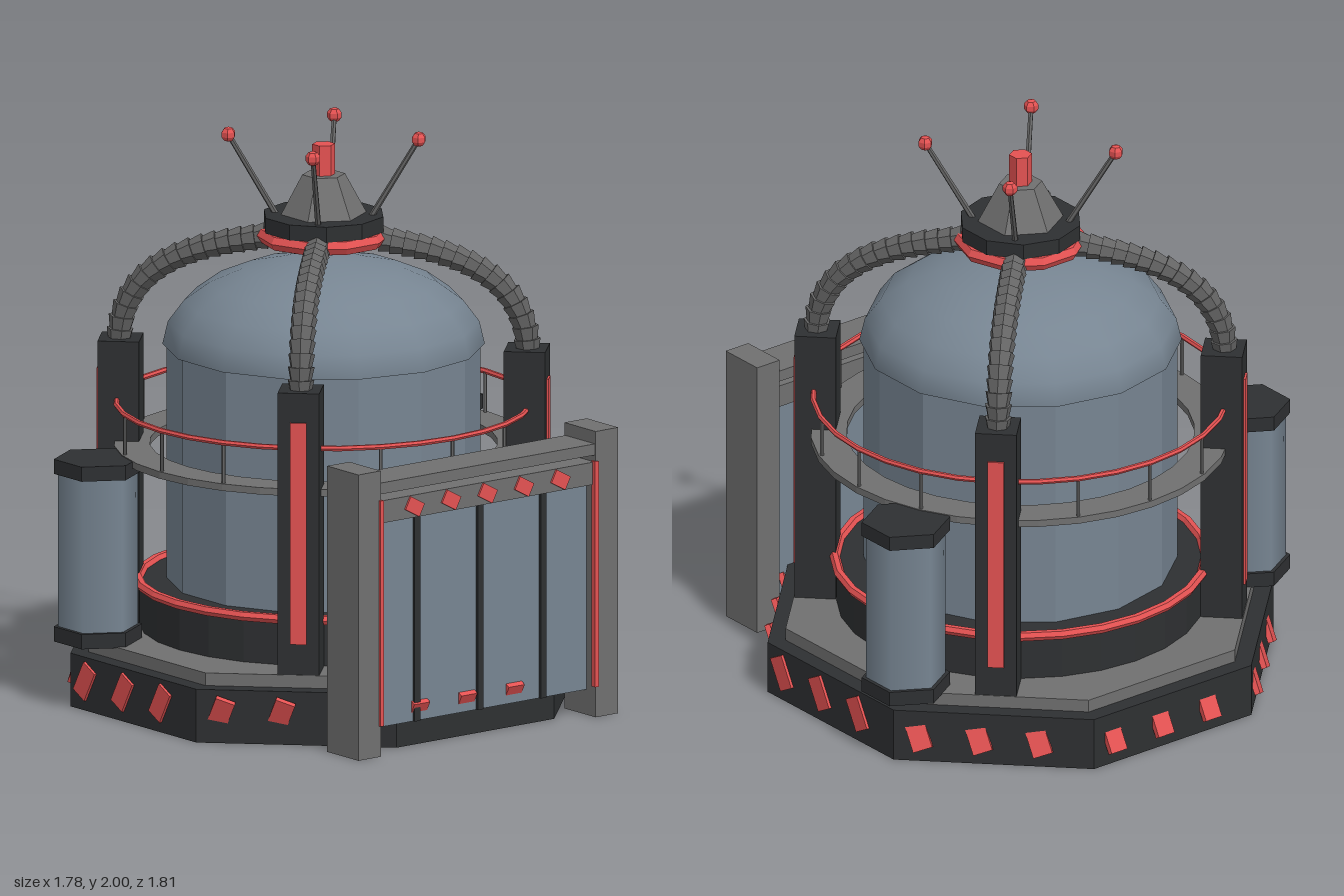
import * as THREE from 'three';

const mat = (color, flatShading = true) => new THREE.MeshStandardMaterial({ color, flatShading });
const dark = mat(0x2e3032), grey = mat(0x707070), red = mat(0xe45252), steel = mat(0x778592);
const steelSmooth = mat(0x778592, false), hose = mat(0x646464);
const V = (x, y, z) => new THREE.Vector3(x, y, z);

export function createModel() {
  const model = new THREE.Group();
  const body = new THREE.Group(); // everything round shares this axis
  body.name = 'reactorBody';
  body.position.z = -0.025;
  model.add(body);

  const add = (parent, name, geo, material, x = 0, y = 0, z = 0) => {
    const m = new THREE.Mesh(geo, material);
    m.name = name;
    m.position.set(x, y, z);
    parent.add(m);
    return m;
  };
  const box = (parent, name, material, w, h, d, x, y, z) =>
    add(parent, name, new THREE.BoxGeometry(w, h, d), material, x, y, z);
  // Prism or cone frustum standing between two heights
  const prism = (parent, name, material, r0, r1, y0, y1, sides, x = 0, z = 0) =>
    add(parent, name, new THREE.CylinderGeometry(r1, r0, y1 - y0, sides), material, x, (y0 + y1) / 2, z);
  // Frustum between two points
  const rod = (parent, name, material, a, b, r0, r1, sides) => {
    const m = add(parent, name, new THREE.CylinderGeometry(r1, r0, a.distanceTo(b), sides), material);
    m.position.copy(a).lerp(b, 0.5);
    m.quaternion.setFromUnitVectors(V(0, 1, 0), b.clone().sub(a).normalize());
    return m;
  };
  const ring = (name, material, r, tube, y, radial, segs) => {
    const m = add(body, name, new THREE.TorusGeometry(r, tube, radial, segs), material, 0, y, 0);
    m.rotation.x = Math.PI / 2;
    return m;
  };

  // Octagonal base and platform
  const oct = Math.cos(Math.PI / 8);
  prism(body, 'base', dark, 0.845 / oct, 0.845 / oct, 0, 0.19, 8).rotation.y = Math.PI / 8;
  prism(body, 'platform', grey, 0.785 / oct, 0.785 / oct, 0.19, 0.235, 8).rotation.y = Math.PI / 8;

  // Three tilted warning lights on each side of the base
  for (let k = 0; k < 8; k++) {
    const a = k * Math.PI / 4;
    for (let i = 0; i < 3; i++) {
      const t = -0.265 + 0.21 * i;
      const light = box(body, 'baseLight', red, 0.07, 0.12, 0.02,
        0.845 * Math.sin(a) + t * Math.cos(a), 0.105, 0.845 * Math.cos(a) - t * Math.sin(a));
      light.rotation.set(0.5, a, 0);
    }
  }

  // Tank with collar and dome
  prism(body, 'collar', dark, 0.64, 0.64, 0.235, 0.4, 28);
  ring('collarRing', red, 0.645, 0.018, 0.4, 6, 28);
  prism(body, 'tank', steel, 0.545, 0.545, 0.4, 1.24, 14);
  const profile = [new THREE.Vector2(0.54, 1.235)];
  for (let i = 0; i <= 6; i++) {
    const a = i * Math.PI / 12;
    profile.push(new THREE.Vector2(i === 6 ? 0 : 0.56 * Math.cos(a), 1.235 + 0.31 * Math.sin(a)));
  }
  add(body, 'dome', new THREE.LatheGeometry(profile, 14), steelSmooth);

  // Walkway with railing
  const section = [[0.605, 0.86], [0.73, 0.86], [0.73, 0.885], [0.605, 0.885], [0.605, 0.86]];
  add(body, 'walkway', new THREE.LatheGeometry(section.map(p => new THREE.Vector2(...p)), 32), grey);
  ring('handrail', red, 0.722, 0.01, 1.03, 6, 32);
  for (let i = 0; i < 16; i++) {
    const a = i * Math.PI / 8;
    prism(body, 'railPost', hose, 0.007, 0.007, 0.88, 1.03, 5, 0.718 * Math.sin(a), 0.718 * Math.cos(a));
  }

  // Four diagonal pillars, each with a light strip, ribbed hose and antenna
  const path = [[0.715, 1.22], [0.7, 1.33], [0.64, 1.44], [0.54, 1.52], [0.4, 1.575], [0.2, 1.615]];
  const curve = new THREE.CatmullRomCurve3(path.map(([z, y]) => V(0, y, z)));
  const ribs = 16;
  for (let k = 0; k < 4; k++) {
    const arm = new THREE.Group();
    arm.name = 'supportArm';
    arm.rotation.y = Math.PI / 4 + k * Math.PI / 2;
    body.add(arm);
    box(arm, 'pillar', dark, 0.145, 1.005, 0.145, 0, 0.7375, 0.71);
    box(arm, 'pillarLight', red, 0.057, 0.79, 0.02, 0, 0.74, 0.78);
    for (let i = 0; i < ribs; i++) {
      rod(arm, 'hoseRib', hose, curve.getPointAt(i / ribs), curve.getPointAt(Math.min(1, (i + 1.15) / ribs)),
        0.037, 0.048, 7);
    }
    const tip = V(0, 1.973, 0.333);
    rod(arm, 'antenna', hose, V(0, 1.69, 0.165), tip, 0.011, 0.009, 6);
    add(arm, 'antennaTip', new THREE.SphereGeometry(0.027, 6, 5), red).position.copy(tip);
  }

  // Crown above the dome
  ring('crownRing', red, 0.205, 0.027, 1.622, 6, 10);
  prism(body, 'crownHub', dark, 0.2, 0.2, 1.595, 1.645, 10);
  prism(body, 'crownPlate', dark, 0.215, 0.215, 1.645, 1.7, 10);
  prism(body, 'crownCone', grey, 0.15, 0.075, 1.7, 1.84, 6);
  prism(body, 'beacon', red, 0.04, 0.04, 1.84, 1.948, 6);

  // Side canisters
  for (const s of [-1, 1]) {
    const can = new THREE.Group();
    can.name = s > 0 ? 'leftCanister' : 'rightCanister';
    can.position.set(s * 0.757, 0, -0.333);
    model.add(can);
    prism(can, 'canisterBody', steelSmooth, 0.14, 0.14, 0.28, 0.835, 6);
    prism(can, 'canisterFoot', dark, 0.155, 0.155, 0.232, 0.285, 6);
    prism(can, 'canisterCap', dark, 0.155, 0.155, 0.83, 0.882, 6);
  }

  // Front gate
  const gate = new THREE.Group();
  gate.name = 'gate';
  model.add(gate);
  for (const s of [-1, 1]) {
    box(gate, 'gatePost', grey, 0.1, 1.02, 0.175, s * 0.527, 0.51, 0.805);
    box(gate, 'gateLight', red, 0.016, 0.805, 0.02, s * 0.477, 0.512, 0.89);
  }
  box(gate, 'gateBeam', grey, 0.96, 0.04, 0.165, 0, 0.955, 0.805);
  box(gate, 'gateHeader', grey, 0.96, 0.08, 0.15, 0, 0.87, 0.81);
  box(gate, 'gatePanel', steel, 0.96, 0.745, 0.07, 0, 0.4625, 0.805);
  for (const x of [-0.28, 0, 0.28]) box(gate, 'panelSeam', dark, 0.026, 0.745, 0.09, x, 0.4625, 0.805);
  for (let i = -2; i <= 2; i++) {
    box(gate, 'headerLight', red, 0.07, 0.05, 0.02, i * 0.162, 0.87, 0.882).rotation.z = -0.5;
  }
  return model;
}
